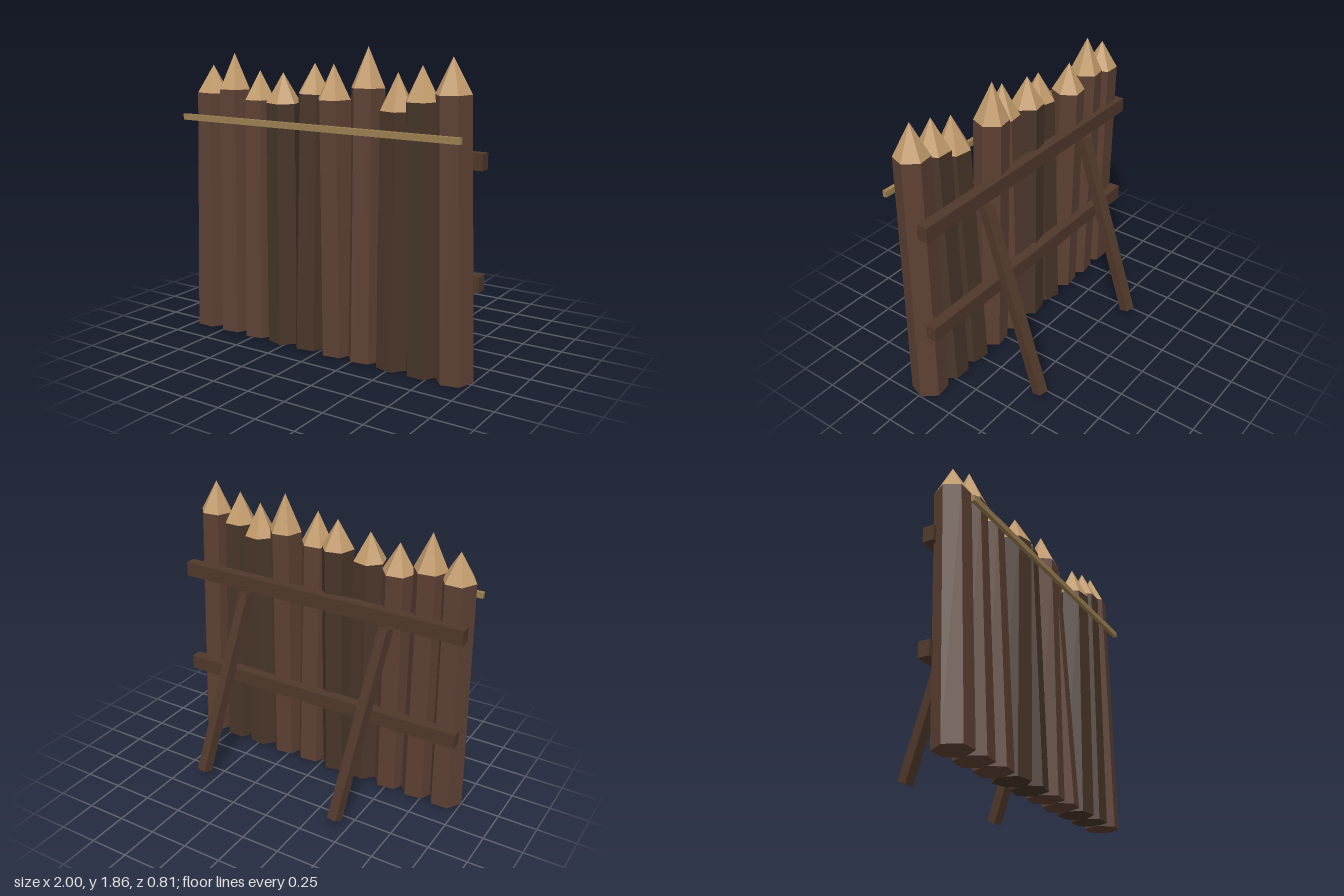
import * as THREE from 'three';

const material = (color) => new THREE.MeshStandardMaterial({ color, flatShading: true });

export function createModel() {
  const model = new THREE.Group();
  model.name = 'palisade';
  const barkLight = material(0x5c4033);
  const barkDark = material(0x483528);
  const cutWood = material(0xc19a6b);
  const beamWood = material(0x50382a);
  const lashWood = material(0x9c8052);

  // Sharpened stakes: [tip x, tip y, tip z, shoulder y, turn in degrees, dark bark]
  const stakes = [
    [-0.88, 1.71, 0.2, 1.535, 30, 0],
    [-0.705, 1.79, 0.2, 1.565, 38, 0],
    [-0.505, 1.69, 0.2, 1.51, 38, 0],
    [-0.275, 1.69, 0.27, 1.51, 15, 1],
    [-0.085, 1.75, 0.21, 1.57, 40, 1],
    [0.085, 1.755, 0.265, 1.55, 38, 0],
    [0.27, 1.855, 0.185, 1.62, 40, 0],
    [0.52, 1.725, 0.28, 1.515, 20, 1],
    [0.675, 1.77, 0.285, 1.575, 30, 1],
    [0.85, 1.82, 0.27, 1.62, 40, 0],
  ];
  const up = new THREE.Vector3(0, 1, 0);
  const topRadius = 0.105;
  stakes.forEach(([x, y, z, shoulder, turn, dark], i) => {
    const stake = new THREE.Group();
    stake.name = `stake${i + 1}`;
    const base = new THREE.Vector3(-0.89 + i * 0.198, 0, 0.25);
    const axis = new THREE.Vector3(x, y, z).sub(base);
    const length = axis.length();
    stake.position.copy(base);
    stake.quaternion.setFromUnitVectors(up, axis.normalize());

    const trunk = new THREE.Mesh(
      new THREE.CylinderGeometry(topRadius, 0.112, shoulder, 6), dark ? barkDark : barkLight);
    trunk.name = 'trunk';
    trunk.position.y = shoulder / 2;

    const point = new THREE.Mesh(
      new THREE.ConeGeometry(topRadius, length - shoulder, 6, 1, true), cutWood);
    point.name = 'sharpenedPoint';
    point.position.y = (length + shoulder) / 2;

    trunk.rotation.y = point.rotation.y = THREE.MathUtils.degToRad(turn);
    stake.add(trunk, point);
    model.add(stake);
  });

  // Square beam running from a to b
  function beam(name, a, b, width, height, mat) {
    const start = new THREE.Vector3(...a);
    const end = new THREE.Vector3(...b);
    const mesh = new THREE.Mesh(
      new THREE.BoxGeometry(width, height, start.distanceTo(end)), mat);
    mesh.name = name;
    mesh.position.copy(start).add(end).multiplyScalar(0.5);
    mesh.lookAt(end);
    model.add(mesh);
  }

  // Horizontal rails behind and the thin strip in front
  beam('upperBackRail', [-0.98, 1.245, 0.115], [0.98, 1.245, 0.115], 0.07, 0.095, beamWood);
  beam('lowerBackRail', [-0.98, 0.55, 0.115], [0.98, 0.55, 0.115], 0.07, 0.095, beamWood);
  beam('frontStrip', [-0.965, 1.392, 0.39], [0.965, 1.392, 0.39], 0.025, 0.037, lashWood);

  // Slanted props leaning against the back
  for (const [name, x] of [['rightProp', -0.5], ['leftProp', 0.495]]) {
    beam(name, [x, 1.193, 0.07], [x + 0.08, 0.05, -0.368], 0.065, 0.068, beamWood);
  }
  return model;
}
